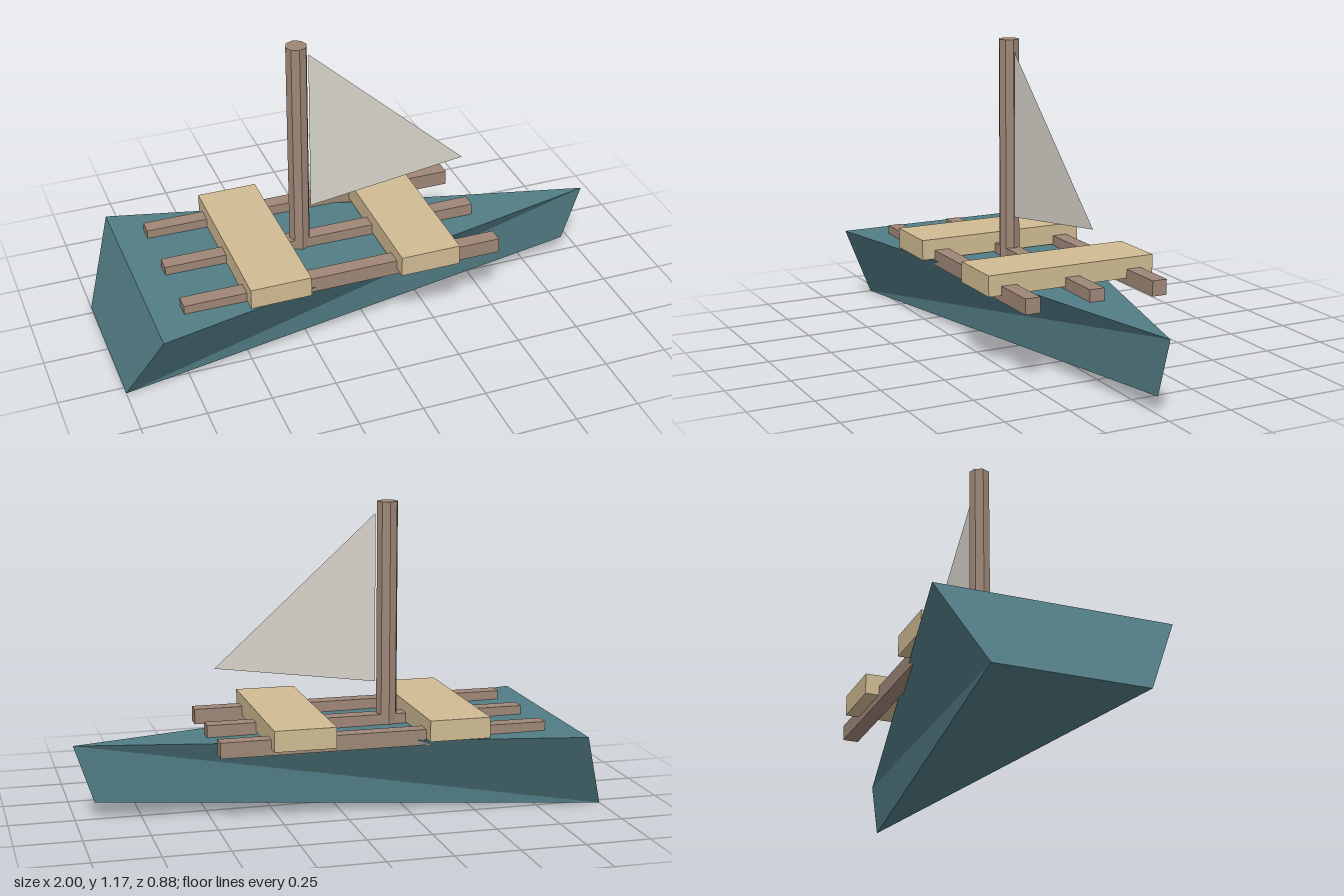
import * as THREE from 'three';

const paint = (color, extra = {}) => new THREE.MeshStandardMaterial({ color, flatShading: true, ...extra });

// Flat-faced geometry from corner points and polygon loops (counter-clockwise from outside)
function faceted(points, faces) {
  const pos = [];
  for (const f of faces)
    for (let i = 1; i < f.length - 1; i++)
      pos.push(...points[f[0]], ...points[f[i]], ...points[f[i + 1]]);
  const g = new THREE.BufferGeometry();
  g.setAttribute('position', new THREE.Float32BufferAttribute(pos, 3));
  g.computeVertexNormals();
  return g;
}

export function createModel() {
  const boat = new THREE.Group();
  boat.name = 'sailboat';
  const teal = paint(0x527d85, { side: THREE.DoubleSide });
  const wood = paint(0x9f8778);
  const tan = paint(0xd0bb92);
  const cloth = paint(0xd9d5cb, { side: THREE.DoubleSide });

  const add = (name, geometry, material, x = 0, y = 0, z = 0) => {
    const mesh = new THREE.Mesh(geometry, material);
    mesh.name = name;
    mesh.position.set(x, y, z);
    boat.add(mesh);
  };

  // Wedge hull: wide raked stern, pointed bow
  add('hull', faceted(
    [
      [-0.88, 0.31, 0.44], [-0.88, 0.31, -0.44], [1, 0.29, 0],
      [-1, 0, 0.285], [-1, 0, -0.285], [0.925, 0.065, 0],
    ],
    [[0, 2, 1], [3, 4, 5], [3, 5, 2, 0], [4, 1, 2, 5], [3, 0, 1, 4]],
  ), teal);

  // Lengthwise rails on the deck
  for (const z of [-0.263, 0, 0.263])
    add('deckRail', new THREE.BoxGeometry(1.26, 0.06, 0.06), wood, -0.133, 0.313, z);

  // Bench seats across the rails
  for (const x of [-0.405, 0.19])
    add('bench', new THREE.BoxGeometry(0.235, 0.08, 0.69), tan, x, 0.348, 0);

  // Mast and triangular sail
  add('mast', new THREE.CylinderGeometry(0.041, 0.041, 0.885, 8), wood, -0.217, 0.7275, 0);
  add('sail', faceted([[-0.17, 0.47, 0], [0.46, 0.555, 0], [-0.17, 1.125, 0]], [[0, 1, 2]]), cloth);

  return boat;
}
